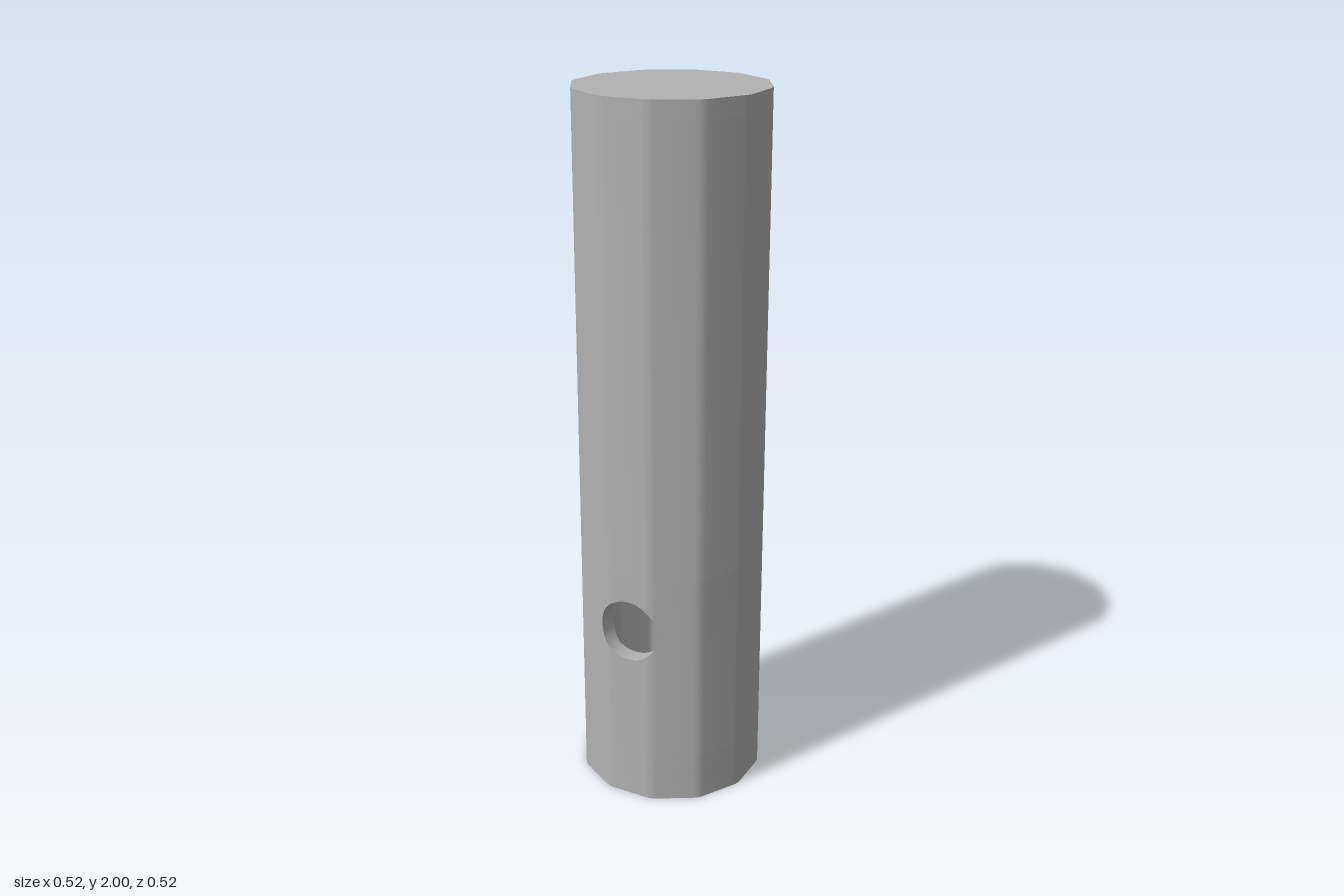
import * as THREE from 'three';
import { toCreasedNormals } from 'three/addons/utils/BufferGeometryUtils.js';

const RAD = Math.PI / 180;

// Twelve-sided outline with rounded corners, as [x, z] points
function outline(apothem, r, steps = 4) {
  const pts = [], d = (apothem - r) / Math.cos(15 * RAD);
  for (let k = 0; k < 12; k++) {
    const c = (30 * k + 15) * RAD;
    for (let i = 0; i <= steps; i++) {
      const t = (30 * k + 30 * i / steps) * RAD;
      pts.push([d * Math.sin(c) + r * Math.sin(t), d * Math.cos(c) + r * Math.cos(t)]);
    }
  }
  return pts;
}

const OUTER = outline(0.258, 0.06), INNER = outline(0.21, 0.02), GROOVE = outline(0.238, 0.02);
const EDGE = 0.125; // half width of the pierced front and back panels

// Distance of an outline from the middle plane at a given x
function depthAt(pts, x) {
  const half = pts.filter(p => p[1] > 0).sort((a, b) => a[0] - b[0]);
  for (let i = 1; i < half.length; i++) {
    const [x0, z0] = half[i - 1], [x1, z1] = half[i];
    if (x <= x1 && x1 > x0) return z0 + (z1 - z0) * (x - x0) / (x1 - x0);
  }
  return 0;
}

// Upright prism from [x, z] points
function prism(pts, hole, y0, y1) {
  const v = list => list.map(([x, z]) => new THREE.Vector2(x, -z));
  const shape = new THREE.Shape(v(pts));
  if (hole) shape.holes.push(new THREE.Path(v(hole)));
  const g = new THREE.ExtrudeGeometry(shape, { depth: y1 - y0, bevelEnabled: false });
  g.rotateX(-Math.PI / 2).translate(0, y0, 0);
  return toCreasedNormals(g, 0.35);
}

// Wall on one side of the pierced panels
function sideWall(s, y0, y1) {
  const half = pts => {
    const e = depthAt(pts, EDGE);
    const mid = pts.filter(p => p[0] > EDGE).sort((a, b) => b[1] - a[1]);
    return [[EDGE, e], ...mid, [EDGE, -e]];
  };
  const loop = [...half(OUTER), ...half(INNER).reverse()];
  return prism(loop.map(([x, z]) => [s * x, z]), null, y0, y1);
}

// Panel with a round hole and, if given, a rectangular opening below it
function panel(s, y0, y1, hole, win) {
  const set = new Set([-EDGE, EDGE]);
  const add = x => { if (Math.abs(x) < EDGE) set.add(+x.toFixed(4)); };
  for (let i = 0; i <= 32; i++) add(-hole.r * Math.cos(i * Math.PI / 32));
  [...OUTER, ...INNER].forEach(p => add(p[0]));
  if (win) [-win.w, win.w].forEach(add);
  const xs = [...set].sort((a, b) => a - b), pos = [];
  const quad = (a, b, c, d, flip) => {
    const q = flip ? [a, c, b, a, d, c] : [a, b, c, a, c, d];
    q.forEach(p => pos.push(...p));
  };
  const cols = xs.map(x => {
    const h = Math.sqrt(Math.max(0, hole.r ** 2 - x * x));
    const rows = win ? [y0, win.y0, win.y1] : [y0];
    return { x, o: s * depthAt(OUTER, x), i: s * depthAt(INNER, x), rows: [...rows, hole.y - h, hole.y + h, y1] };
  });
  for (let k = 1; k < cols.length; k++) {
    const a = cols[k - 1], b = cols[k], n = a.rows.length, back = s < 0;
    for (let j = 0; j < n - 1; j++) {
      const inHole = j === n - 3;
      const inWin = win && j === 1 && Math.abs(a.x + b.x) / 2 < win.w;
      if (inHole) {
        // Lower and upper halves of the bore
        for (const m of [j, j + 1]) {
          if (a.rows[j + 1] - a.rows[j] + b.rows[j + 1] - b.rows[j] < 1e-3) continue;
          quad([a.x, a.rows[m], a.o], [b.x, b.rows[m], b.o], [b.x, b.rows[m], b.i], [a.x, a.rows[m], a.i], back !== (m > j));
        }
      } else if (!inWin) {
        for (const side of ['o', 'i'])
          quad([a.x, a.rows[j], a[side]], [b.x, b.rows[j], b[side]], [b.x, b.rows[j + 1], b[side]],
            [a.x, a.rows[j + 1], a[side]], back !== (side === 'i'));
      }
    }
  }
  const g = new THREE.BufferGeometry();
  g.setAttribute('position', new THREE.Float32BufferAttribute(pos, 3));
  return toCreasedNormals(g, 0.35);
}

// Arc of the mounting lip, between two angles measured from the front
function lipArc(from, to) {
  const n = 36, arc = apothem => Array.from({ length: n + 1 }, (_, i) => {
    const t = from + (to - from) * i / n;
    const r = apothem / Math.cos((((t + 375) % 30) - 15) * RAD);
    return [r * Math.sin(t * RAD), r * Math.cos(t * RAD)];
  });
  return prism([...arc(0.243), ...arc(0.21).reverse()], null, 0, 0.05);
}

// Raised rectangular frame around the back opening
function windowFrame() {
  const rect = (C, w, y0, y1) => new C([[-w, y0], [w, y0], [w, y1], [-w, y1]].map(p => new THREE.Vector2(...p)));
  const shape = rect(THREE.Shape, 0.12, 0.165, 0.505);
  shape.holes.push(rect(THREE.Path, 0.1, 0.185, 0.485));
  return new THREE.ExtrudeGeometry(shape, { depth: 0.06, bevelEnabled: false }).translate(0, 0, -0.2585);
}

// Curved blend from the frame to the slanted wall
function frameFillet(s) {
  const curve = new THREE.QuadraticBezierCurve(
    new THREE.Vector2(0.12, -0.258), new THREE.Vector2(0.122, -0.228), new THREE.Vector2(0.146, -0.213));
  const pts = curve.getPoints(8).map(p => [s * p.x, p.y]);
  return prism([...pts, [s * 0.115, -0.213], [s * 0.115, -0.258]], null, 0.165, 0.505);
}

export function createModel() {
  const group = new THREE.Group();
  const grey = new THREE.MeshStandardMaterial({ color: 0xb2b2b2 });
  const add = (name, geometry) => {
    const mesh = new THREE.Mesh(geometry, grey);
    mesh.name = name;
    group.add(mesh);
  };

  // Socket at the foot: grooved collar, ledge and two lips with entry slots between
  add('collar', prism(OUTER, GROOVE, 0, 0.1));
  add('ledge', prism(OUTER, INNER, 0.1, 0.14));
  add('lipFront', lipArc(-53, 93));
  add('lipBack', lipArc(127, 273));

  // Pierced middle section
  add('frontPanel', panel(1, 0.14, 0.7, { y: 0.533, r: 0.09 }));
  add('backPanel', panel(-1, 0.14, 0.7, { y: 0.608, r: 0.042 }, { w: 0.11, y0: 0.175, y1: 0.495 }));
  for (const s of [1, -1]) {
    add(s > 0 ? 'leftWall' : 'rightWall', sideWall(s, 0.14, 0.7));
    add(s > 0 ? 'leftFrameFillet' : 'rightFrameFillet', frameFillet(s));
  }
  add('windowFrame', windowFrame());

  // Long upper tube and closed top
  add('upperTube', prism(OUTER, INNER, 0.7, 1.95));
  add('topCap', prism(OUTER, null, 1.95, 2));
  return group;
}
